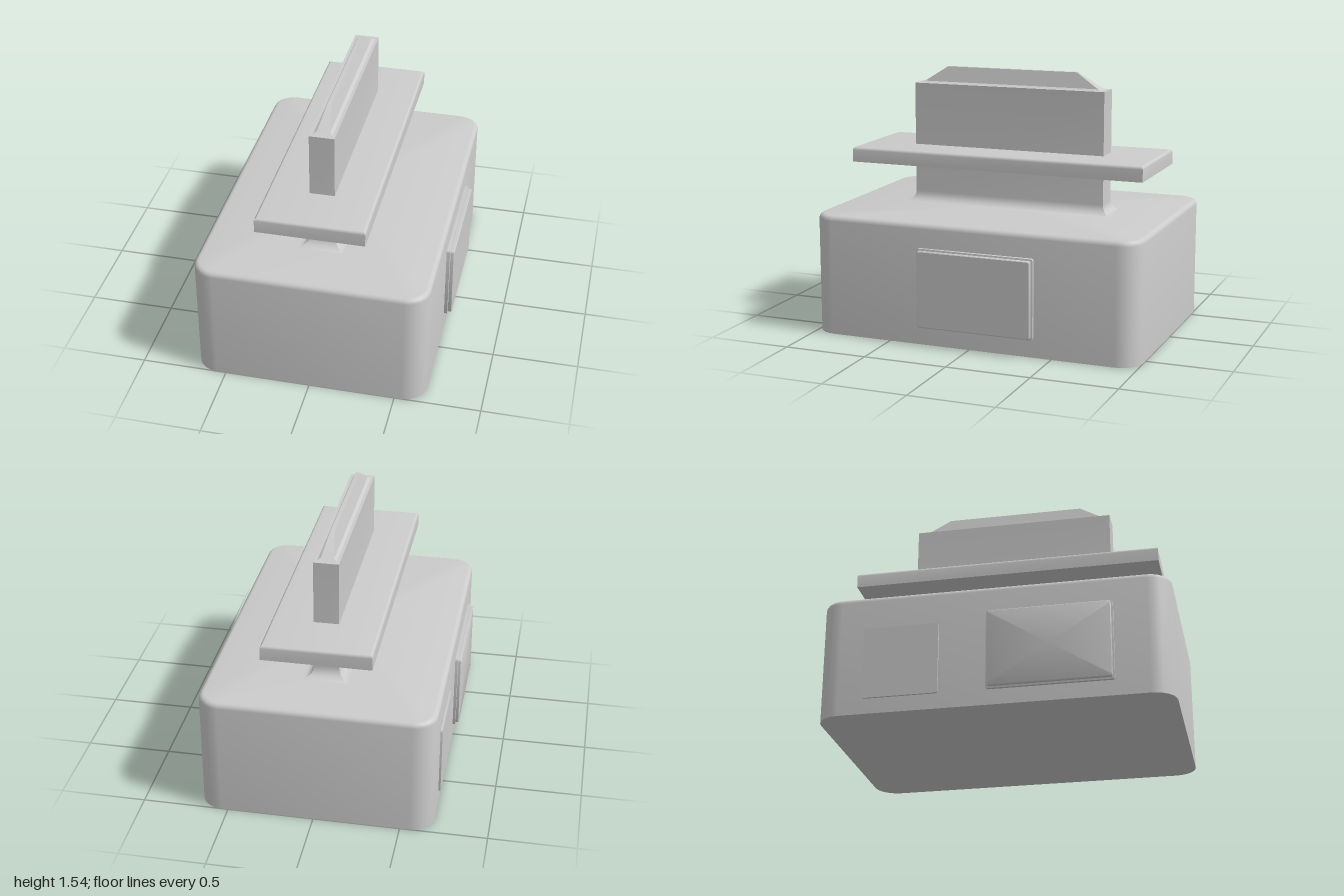
import * as THREE from 'three';
import { toCreasedNormals } from 'three/addons/utils/BufferGeometryUtils.js';

const material = new THREE.MeshStandardMaterial({ color: 0xcccccc });

// Rectangle outline with optional rounded corners, one ring at height y
function ring({ hx, hz, y, r = 0 }, segs) {
  const points = [];
  for (let corner = 0; corner < 4; corner++) {
    const sx = corner === 0 || corner === 3 ? 1 : -1;
    const sz = corner < 2 ? 1 : -1;
    for (let s = 0; s <= segs; s++) {
      const a = (corner + (segs ? s / segs : 0.5)) * Math.PI / 2;
      const k = segs ? r : 0;
      points.push([sx * (hx - k) + k * Math.cos(a), y, sz * (hz - k) + k * Math.sin(a)]);
    }
  }
  return points;
}

// Closed solid skinned through a stack of rings, bottom to top
function loft(name, rows, segs = 0) {
  const rings = rows.map((row) => ring(row, segs));
  const n = rings[0].length;
  const pos = [];
  const tri = (a, b, c) => pos.push(...a, ...b, ...c);
  const top = rings[rings.length - 1];
  const bottom = rings[0];
  for (let i = 0; i < n; i++) {
    const j = (i + 1) % n;
    for (let k = 0; k < rings.length - 1; k++) {
      const lo = rings[k], hi = rings[k + 1];
      tri(lo[i], hi[i], lo[j]);
      tri(hi[i], hi[j], lo[j]);
    }
    tri([0, top[0][1], 0], top[j], top[i]);
    tri([0, bottom[0][1], 0], bottom[i], bottom[j]);
  }
  const geometry = new THREE.BufferGeometry();
  geometry.setAttribute('position', new THREE.Float32BufferAttribute(pos, 3));
  const mesh = new THREE.Mesh(toCreasedNormals(geometry, 0.6), material);
  mesh.name = name;
  return mesh;
}

// Upright block with a rounded top edge
function filletRows(hx, hz, y0, y1, fillet, r = 0, steps = 4) {
  const rows = [{ hx, hz, y: y0, r }];
  for (let s = 0; s <= steps; s++) {
    const a = (s / steps) * Math.PI / 2;
    const inset = fillet * (1 - Math.cos(a));
    rows.push({ hx: hx - inset, hz: hz - inset, y: y1 - fillet * (1 - Math.sin(a)), r: Math.max(r - inset, 0) });
  }
  return rows;
}

// Stepped cover plate on a side wall; side is +1 (left) or -1 (right)
function sidePanel(name, side, wallX, y0, y1, z0, z1, rows) {
  const hx = (y1 - y0) / 2, hz = (z1 - z0) / 2;
  const panel = loft(name, rows.map(([inset, y]) => ({ hx: hx - inset, hz: hz - inset, y, r: 0.012 })), 3);
  panel.rotation.z = -side * Math.PI / 2;
  panel.position.set(wallX, (y0 + y1) / 2, (z0 + z1) / 2);
  return panel;
}

export function createModel() {
  const model = new THREE.Group();
  model.name = 'switchBlock';
  const cx = -0.0075;

  // Housing with rounded uprights and a soft top edge
  const housing = loft('housing', filletRows(0.6775, 1, 0, 0.715, 0.03, 0.13), 6);
  housing.position.x = cx;
  model.add(housing);

  // Upright stem, flared into the housing by a concave fillet
  const stemRows = [];
  const flare = 0.06;
  for (let s = 0; s <= 5; s++) {
    const a = (s / 5) * Math.PI / 2;
    const out = flare * (1 - Math.sin(a));
    stemRows.push({ hx: 0.0725 + out, hz: 0.6 + out, y: 0.715 + flare * (1 - Math.cos(a)) });
  }
  stemRows.push({ hx: 0.0725, hz: 0.6, y: 1.44 });
  const stem = loft('stem', stemRows);
  stem.position.x = cx;
  model.add(stem);

  // Flat collar around the stem
  const collar = loft('collar', filletRows(0.3125, 0.908, 0.975, 1.065, 0.018));
  collar.position.x = cx;
  model.add(collar);

  // Tapered ridge on top of the stem
  const ridge = loft('ridge', [
    { hx: 0.055, hz: 0.57, y: 1.44 },
    { hx: 0.037, hz: 0.55, y: 1.45 },
    { hx: 0.012, hz: 0.41, y: 1.54 },
  ]);
  ridge.position.x = cx;
  model.add(ridge);

  // Cover plates on both side walls
  const step = [[0, -0.01], [0, 0.02], [0.01, 0.022], [0.01, 0.041], [0.014, 0.045]];
  model.add(sidePanel('leftPanel', 1, 0.67, 0.105, 0.575, -0.395, 0.315, step));
  model.add(sidePanel('rightPanel', -1, -0.685, 0.09, 0.56, -0.03, 0.68, step.map(([i, y]) => [i, y * 0.8])));
  model.add(sidePanel('rightThinPlate', -1, -0.685, 0.09, 0.51, -0.73, -0.3, [[0, -0.01], [0, 0.012]]));

  return model;
}
